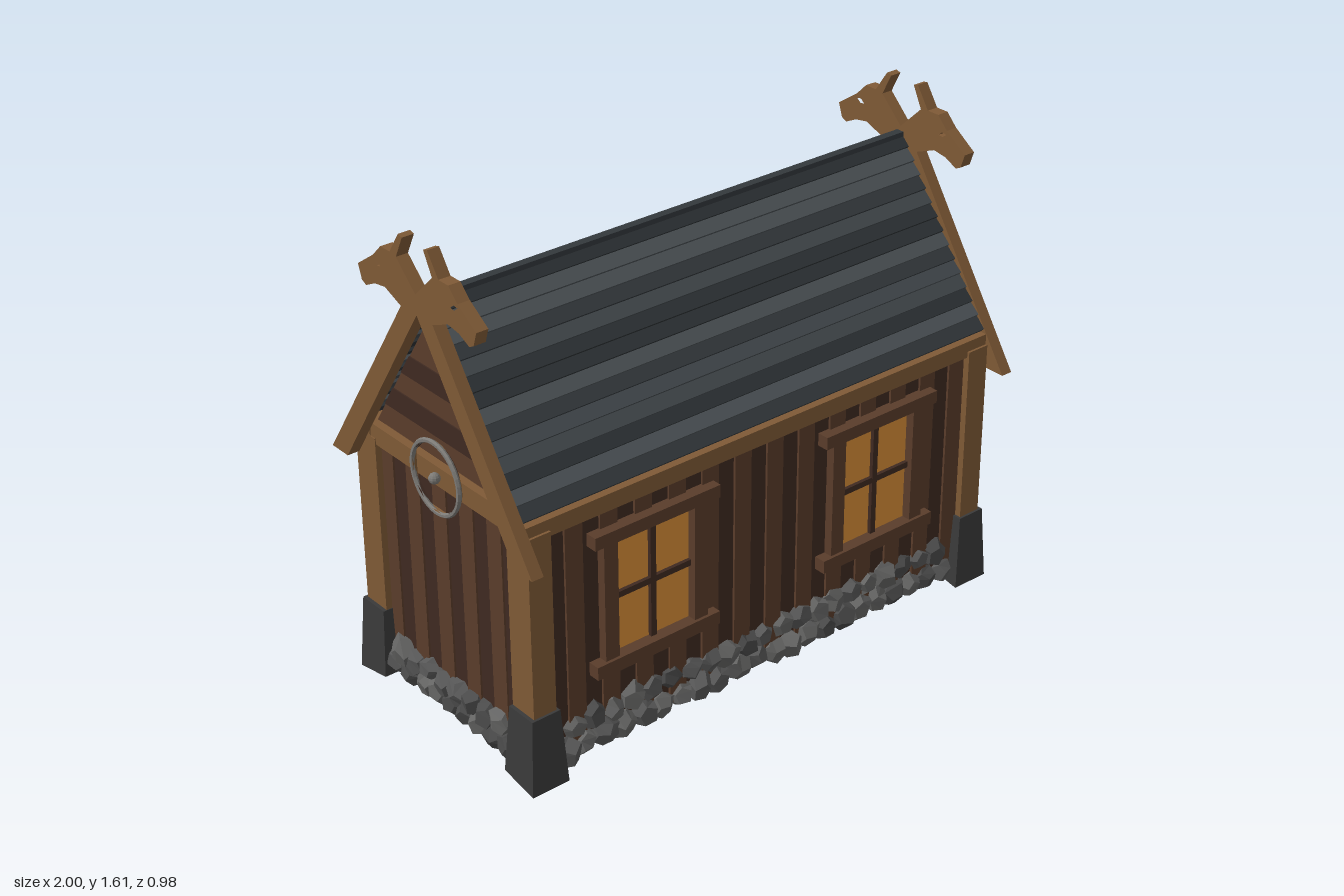
import * as THREE from 'three';

const CX = -0.065; // middle of the house along x
const mat = (color, extra = {}) => new THREE.MeshStandardMaterial({ color, flatShading: true, ...extra });
const M = {
  timber: mat(0x7f5a36), plank: mat(0x5a3d2b), darkPlank: mat(0x3f2a21),
  glow: mat(0xd98f37, { side: THREE.DoubleSide }), base: mat(0x3a3a3a), iron: mat(0x7c7a76),
  stones: [mat(0x4a4a4a), mat(0x585858), mat(0x646463)],
  slate: [mat(0x33383c), mat(0x42484c), mat(0x2d3235), mat(0x4b5155)],
};
let seed = 7;
const rnd = () => ((seed = (seed * 16807) % 2147483647) / 2147483647);

function add(parent, name, geo, material, x = 0, y = 0, z = 0) {
  const m = new THREE.Mesh(geo, material);
  m.name = name;
  m.position.set(x, y, z);
  parent.add(m);
  return m;
}
// box from its extents on each axis
const box = (p, name, material, [x0, x1], [y0, y1], [z0, z1]) =>
  add(p, name, new THREE.BoxGeometry(x1 - x0, y1 - y0, z1 - z0), material, (x0 + x1) / 2, (y0 + y1) / 2, (z0 + z1) / 2);
const polygon = (pts) => new THREE.Shape(pts.map(([a, b]) => new THREE.Vector2(a, b)));
// profile in (z, y), extruded along x and ending at x1
function slab(p, name, shape, depth, material, x1) {
  const g = new THREE.ExtrudeGeometry(shape, { depth, bevelEnabled: false, curveSegments: 10 });
  const m = add(p, name, g.rotateY(-Math.PI / 2), material, x1);
  return m;
}
// arch outline in (z, y)
function arch(c, half, y0, spring) {
  const s = new THREE.Shape();
  s.moveTo(c - half, y0);
  s.lineTo(c + half, y0);
  s.lineTo(c + half, spring);
  s.absarc(c, spring, half, 0, Math.PI);
  s.closePath();
  return s;
}

// Long wall on the +z side, with two windows
function longWall() {
  const g = new THREE.Group();
  const windows = [-0.44, 0.44], n = 26, w = 1.63 / n;
  for (let i = 0; i < n; i++) {
    const x = -0.815 + i * w, front = 0.39 + (i % 2) * 0.008;
    const m = i % 2 ? M.plank : M.darkPlank;
    const cut = windows.some((c) => Math.abs(x + w / 2 - c) < 0.17);
    for (const ys of cut ? [[0.06, 0.33], [0.74, 0.85]] : [[0.06, 0.85]]) {
      box(g, 'wallPlank', m, [x, x + w], ys, [0.368, front]);
    }
  }
  for (const c of windows) {
    const win = new THREE.Group();
    win.name = 'window';
    box(win, 'pane', M.glow, [c - 0.15, c + 0.15], [0.325, 0.745], [0.384, 0.39]);
    box(win, 'mullion', M.darkPlank, [c - 0.01, c + 0.01], [0.33, 0.74], [0.376, 0.403]);
    box(win, 'crossbar', M.darkPlank, [c - 0.145, c + 0.145], [0.52, 0.54], [0.376, 0.402]);
    for (const s of [-1, 1]) box(win, 'jamb', M.plank, [c + s * 0.167 - 0.025, c + s * 0.167 + 0.025], [0.33, 0.74], [0.375, 0.42]);
    box(win, 'lintel', M.plank, [c - 0.23, c + 0.23], [0.73, 0.772], [0.375, 0.43]);
    box(win, 'sill', M.plank, [c - 0.23, c + 0.23], [0.293, 0.337], [0.375, 0.43]);
    g.add(win);
  }
  box(g, 'eaveBeam', M.timber, [-0.895, 0.895], [0.83, 0.885], [0.345, 0.412]);
  return g;
}

// Stepped roof boards on the +z slope
function roofSlope() {
  const g = new THREE.Group(), n = 14;
  const low = new THREE.Vector2(0.39, 0.895), high = new THREE.Vector2(0, 1.43);
  const angle = Math.atan2(high.y - low.y, low.x - high.x), w = low.distanceTo(high) / n;
  for (let i = 0; i < n; i++) {
    const c = low.clone().lerp(high, (i + 0.5) / n);
    const board = add(g, 'roofBoard', new THREE.BoxGeometry(1.79, 0.016, w * 1.2), M.slate[(i * 3 + (i >> 2)) % 4], 0, c.y, c.x);
    board.rotation.x = angle - 0.16 - rnd() * 0.1;
  }
  return g;
}

// Gable end on the +x side, in house coordinates (wall face near x = 0.895)
function gable(hasDoor) {
  const g = new THREE.Group();
  const n = 10, w = 0.66 / n, doorC = -0.121;
  for (let i = 0; i < n; i++) {
    const z = -0.33 + i * w;
    const behindDoor = hasDoor && z + w > doorC - 0.09 && z < doorC + 0.09;
    box(g, 'gablePlank', i % 2 ? M.plank : M.darkPlank, [0.845, 0.868 + (i % 2) * 0.006], [behindDoor ? 0.12 : 0.06, 0.85], [z, z + w]);
  }
  // horizontal boards in the triangle
  const ys = [0.88, 0.97, 1.04, 1.11, 1.18, 1.41];
  const half = (y) => Math.max(0, (1.41 - y) / 1.5);
  for (let i = 0; i < 5; i++) {
    const a = half(ys[i]), b = half(ys[i + 1]);
    const pts = [[-a, ys[i]], [a, ys[i]], [b, ys[i + 1]]];
    if (b) pts.push([-b, ys[i + 1]]);
    slab(g, 'gableBoard', polygon(pts), 0.02, i % 2 ? M.darkPlank : M.plank, 0.865 + (i % 2) * 0.004);
  }
  box(g, 'tieBeam', M.timber, [0.84, 0.892], [0.83, 0.895], [-0.345, 0.345]);

  // crossed barge boards ending in carved animal heads
  const side = [[0, 1.453], [0.085, 1.535], [0.05, 1.605], [0.068, 1.61], [0.085, 1.585], [0.115, 1.54], [0.16, 1.54],
    [0.2, 1.5], [0.28, 1.445], [0.265, 1.4], [0.245, 1.39], [0.2, 1.412], [0.15, 1.42], [0.075, 1.39], [0.49, 0.77], [0.41, 0.77], [0, 1.39]];
  const mirrored = side.slice(1, -1).reverse().map(([z, y]) => [-z, y]);
  const barge = polygon([...side, ...mirrored]);
  for (const s of [-1, 1]) {
    barge.holes.push(new THREE.Path([[0.165, 1.476], [0.182, 1.474], [0.198, 1.486], [0.18, 1.489]].map(([z, y]) => new THREE.Vector2(s * z, y))));
  }
  slab(g, 'bargeBoards', barge, 0.04, M.timber, 0.935);

  // round shield on the tie beam
  const shield = new THREE.Group();
  shield.name = 'shield';
  for (let i = 0; i < 8; i++) {
    const a = (i - 0.5) * Math.PI / 4, sector = new THREE.Shape();
    sector.moveTo(0, 0);
    sector.absarc(0, 0, 0.115, a, a + Math.PI / 4);
    slab(shield, 'shieldSector', sector, 0.014, i % 2 ? M.darkPlank : M.timber, 0.014);
  }
  add(shield, 'shieldRim', new THREE.TorusGeometry(0.114, 0.008, 6, 32).rotateY(Math.PI / 2), M.iron, 0.01);
  add(shield, 'shieldBoss', new THREE.SphereGeometry(0.018, 10, 8), M.iron, 0.014);
  shield.position.set(0.893, 0.865, 0);
  g.add(shield);

  if (hasDoor) {
    const door = new THREE.Group();
    door.name = 'door';
    const surround = arch(doorC, 0.115, 0.04, 0.465);
    surround.holes.push(arch(doorC, 0.084, 0.05, 0.465));
    slab(door, 'doorSurround', surround, 0.05, M.plank, 0.905);
    const trim = arch(doorC, 0.084, 0.175, 0.465);
    trim.holes.push(arch(doorC, 0.072, 0.2, 0.465));
    slab(door, 'ironTrim', trim, 0.035, M.iron, 0.9);
    slab(door, 'doorLeaf', arch(doorC, 0.075, 0.18, 0.465), 0.02, M.plank, 0.884);
    // lattice clipped to the arch
    const rise = (d) => 0.465 + Math.sqrt(0.074 ** 2 - d * d);
    for (let i = -2; i <= 2; i++) {
      const d = i * 0.031;
      box(door, 'latticeBar', M.darkPlank, [0.88, 0.89], [0.195, rise(d)], [doorC + d - 0.006, doorC + d + 0.006]);
    }
    for (let y = 0.22; y < 0.53; y += 0.034) {
      const h = y < 0.465 ? 0.073 : Math.sqrt(0.073 ** 2 - (y - 0.465) ** 2);
      box(door, 'latticeBar', M.darkPlank, [0.88, 0.8895], [y - 0.007, y + 0.007], [doorC - h, doorC + h]);
    }
    add(door, 'doorKnob', new THREE.SphereGeometry(0.009, 8, 6), M.iron, 0.895, 0.365, doorC + 0.055);
    const tops = [0.175, 0.14, 0.105, 0.075], ends = [0.94, 0.98, 1.02, 1.065];
    tops.forEach((top, i) => box(door, 'step', M.base, [i ? ends[i - 1] : 0.85, ends[i]], [0.05, top], [doorC - 0.084, doorC + 0.084]));
    g.add(door);
  }
  return g;
}

// Irregular boulder
function boulder(p, x, y, z, r) {
  const geo = new THREE.DodecahedronGeometry(r), pos = geo.attributes.position, k = rnd() * 50;
  for (let i = 0; i < pos.count; i++) {
    const v = new THREE.Vector3().fromBufferAttribute(pos, i);
    const f = 1 + 0.13 * Math.sin(Math.round(v.x / r * 50) * 1.7 + Math.round(v.y / r * 50) * 2.3 + Math.round(v.z / r * 50) * 3.1 + k);
    pos.setXYZ(i, v.x * f, v.y * f, v.z * f);
  }
  geo.computeVertexNormals();
  add(p, 'boulder', geo, M.stones[Math.floor(rnd() * 3)], x, y, z).rotation.set(rnd() * 0.6, rnd() * 6, rnd() * 0.6);
}

export function createModel() {
  const house = new THREE.Group();
  house.name = 'house';
  for (const back of [false, true]) {
    const wall = longWall(), roof = roofSlope();
    wall.name = back ? 'backWall' : 'frontWall';
    roof.name = back ? 'backRoof' : 'frontRoof';
    if (back) wall.rotation.y = roof.rotation.y = Math.PI;
    house.add(wall, roof);
  }
  box(house, 'ridgeBoard', M.slate[0], [-0.895, 0.895], [1.415, 1.438], [-0.014, 0.014]);
  const doorEnd = gable(true), plainEnd = gable(false);
  doorEnd.name = 'doorGable';
  plainEnd.name = 'plainGable';
  plainEnd.rotation.y = Math.PI;
  house.add(doorEnd, plainEnd);

  // corner posts on flared stone footings
  for (const sx of [-1, 1]) for (const sz of [-1, 1]) {
    add(house, 'cornerPost', new THREE.BoxGeometry(0.08, 0.64, 0.1), M.timber, sx * 0.855, 0.53, sz * 0.37);
    const geo = new THREE.BoxGeometry(0.1, 0.245, 0.11), pos = geo.attributes.position;
    for (let i = 0; i < pos.count; i++) {
      if (pos.getY(i) < 0) pos.setXYZ(i, pos.getX(i) * 1.32, pos.getY(i) + (pos.getZ(i) * sz > 0 ? -0.005 : 0.02), pos.getZ(i) * 1.22);
    }
    add(house, 'cornerFooting', geo, M.base, sx * 0.857, 0.132, sz * 0.373);
  }

  // two courses of boulders around the foot of the walls
  const plinth = new THREE.Group();
  plinth.name = 'stonePlinth';
  for (let row = 0; row < 2; row++) {
    for (const s of [-1, 1]) {
      for (let x = -0.77 + row * 0.035; x < 0.79; x += 0.073) {
        boulder(plinth, x, (row ? 0.148 : 0.075) + (rnd() - 0.5) * 0.014, s * (row ? 0.378 : 0.385), 0.045 + rnd() * 0.01);
      }
      for (let z = -0.29 + row * 0.03; z < 0.3; z += 0.07) {
        if (s > 0 && z > -0.27 && z < 0.035) continue;
        boulder(plinth, s * 0.865, (row ? 0.13 : 0.075) + (rnd() - 0.5) * 0.014, z, 0.043 + rnd() * 0.01);
      }
    }
  }
  house.add(plinth);
  house.position.x = CX;
  const model = new THREE.Group();
  model.name = 'timberHouse';
  model.add(house);
  return model;
}
